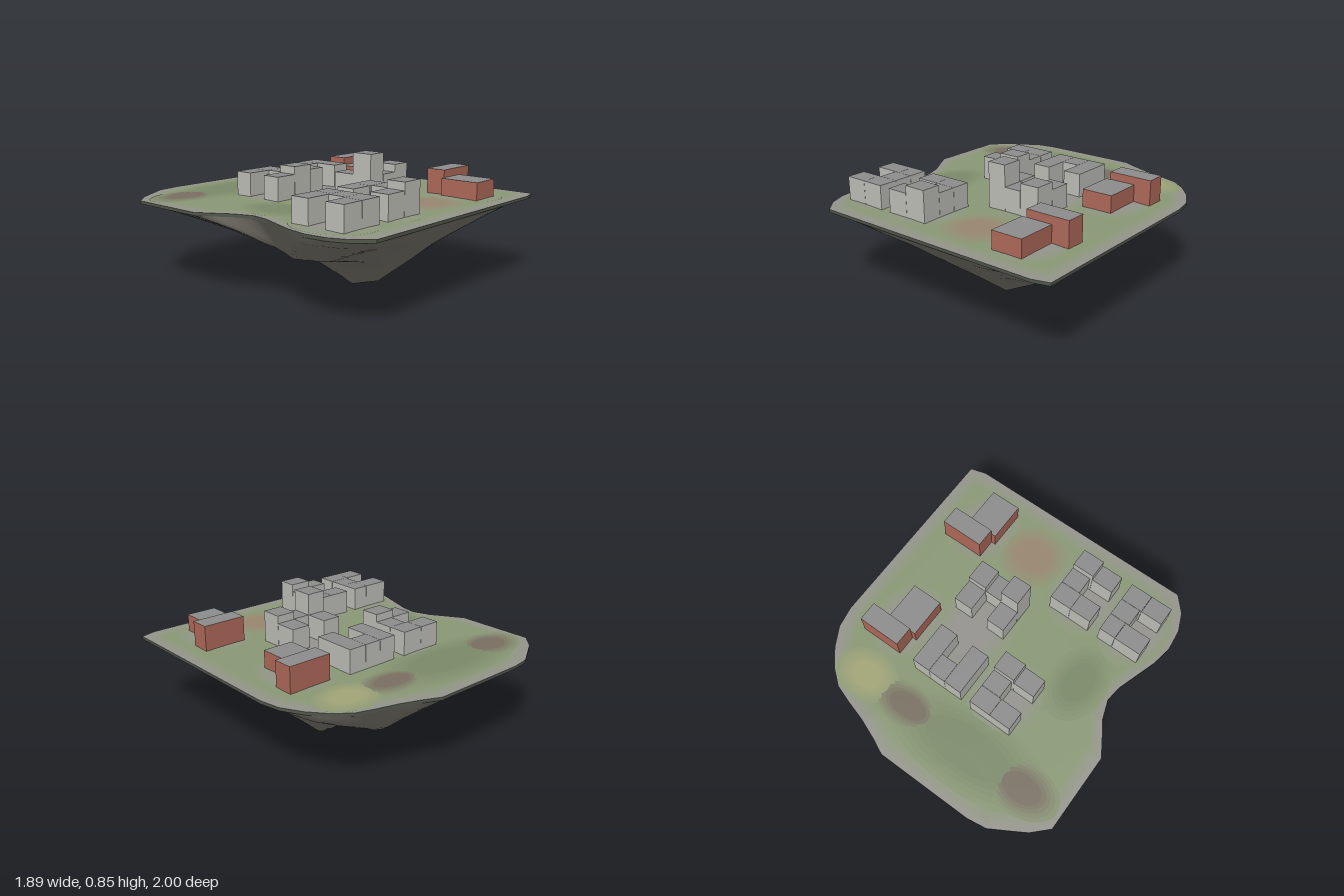
import * as THREE from 'three';

const TOP = 0.55, RIM = 0.53;
const mat = (color) => new THREE.MeshStandardMaterial({ color });
const grey = mat(0xc0c0ba), roofGrey = mat(0x8e8e8e), red = mat(0xb06a5a);
const rock = mat(0x8e8a80), soil = mat(0x50564a);
const GRASS = new THREE.Color(0x8b9a76), VERGE = new THREE.Color(0x97958f);

// Island outline seen from above, as x, z pairs
const OUTLINE = [
  [-0.5, -1], [0.16, -1], [0.27, -0.95], [0.4, -0.9], [0.54, -0.86], [0.66, -0.82], [0.76, -0.74],
  [0.85, -0.63], [0.92, -0.5], [0.945, -0.36], [0.945, 0.97], [0.84, 1], [-0.75, 1], [-0.84, 0.9],
  [-0.89, 0.78], [-0.905, 0.64], [-0.88, 0.5], [-0.83, 0.35], [-0.79, 0.23], [-0.775, 0.12],
  [-0.82, -0.01], [-0.89, -0.12], [-0.95, -0.22], [-0.95, -0.75], [-0.85, -0.85], [-0.75, -0.91], [-0.63, -0.98],
].map(([x, z]) => new THREE.Vector2(x, z));

// Coarse heights of the rocky underside: rows from back to front, columns from -x to +x
const ROCK = [
  [0.53, 0.53, 0.53, 0.53, 0.53, 0.53, 0.53, 0.53],
  [0.53, 0.46, 0.41, 0.37, 0.34, 0.31, 0.43, 0.53],
  [0.53, 0.42, 0.34, 0.29, 0.27, 0.26, 0.36, 0.53],
  [0.53, 0.40, 0.29, 0.20, 0.15, 0.09, 0.32, 0.53],
  [0.53, 0.37, 0.27, 0.13, 0.09, 0.12, 0.32, 0.53],
  [0.53, 0.31, 0.25, 0.04, 0.00, 0.13, 0.33, 0.53],
  [0.53, 0.34, 0.29, 0.22, 0.20, 0.26, 0.38, 0.53],
  [0.53, 0.45, 0.43, 0.42, 0.42, 0.43, 0.46, 0.53],
  [0.62, 0.62, 0.63, 0.64, 0.64, 0.63, 0.62, 0.62],
];

function rockHeight(x, z) {
  const u = THREE.MathUtils.clamp((x + 0.945) / 0.265, 0, 6.999);
  const v = THREE.MathUtils.clamp((z + 1) / 0.2667, 0, 7.999);
  const i = Math.floor(u), j = Math.floor(v);
  const row = (r) => THREE.MathUtils.lerp(ROCK[r][i], ROCK[r][i + 1], u - i);
  return THREE.MathUtils.lerp(row(j), row(j + 1), v - j);
}

// Split long outline edges so the underside follows its ridges
function denseOutline(step) {
  const pts = [];
  OUTLINE.forEach((a, i) => {
    const b = OUTLINE[(i + 1) % OUTLINE.length];
    const n = Math.max(1, Math.round(a.distanceTo(b) / step));
    for (let k = 0; k < n; k++) pts.push(a.clone().lerp(b, k / n));
  });
  return pts;
}

// Underside built from rings that shrink towards the lowest peak
function undersideGeometry() {
  const loop = denseOutline(0.06), n = loop.length, rings = 32;
  const centre = new THREE.Vector2(0.115, 0.333);
  const pos = [], index = [];
  for (let r = 0; r <= rings; r++) {
    for (const p of loop) {
      const q = centre.clone().lerp(p, 1 - r / rings);
      // never steeper than a cone hanging from the rim
      const cone = RIM - 1.5 * q.distanceTo(p);
      pos.push(q.x, Math.min(RIM, Math.max(rockHeight(q.x, q.y), cone)), q.y);
    }
  }
  for (let r = 0; r < rings; r++) {
    for (let i = 0; i < n; i++) {
      const a = r * n + i, b = r * n + (i + 1) % n, c = a + n, d = b + n;
      index.push(a, b, c);
      if (r < rings - 1) index.push(b, d, c);
    }
  }
  const g = new THREE.BufferGeometry();
  g.setAttribute('position', new THREE.Float32BufferAttribute(pos, 3));
  g.setIndex(index);
  g.computeVertexNormals();
  return g;
}

export function createModel() {
  const model = new THREE.Group();
  const add = (parent, name, geometry, material) => {
    const mesh = new THREE.Mesh(geometry, material);
    mesh.name = name;
    parent.add(mesh);
    return mesh;
  };

  // Floating island
  const island = new THREE.Group();
  island.name = 'island';
  model.add(island);
  add(island, 'rockUnderside', undersideGeometry(), rock);
  const outline = (k) => new THREE.Shape(OUTLINE.map((p) => new THREE.Vector2(p.x * k, -p.y * k)));
  const slab = new THREE.ExtrudeGeometry(outline(1), { depth: TOP - RIM, bevelEnabled: false });
  slab.rotateX(-Math.PI / 2).translate(0, RIM, 0);
  add(island, 'rimSlab', slab, [mat(VERGE), soil]);

  // Lawn fading in from the grey verge
  for (let k = 1; k <= 5; k++) {
    const lawn = new THREE.ShapeGeometry(outline(1 - 0.022 * k)).rotateX(-Math.PI / 2);
    add(island, 'lawn', lawn, mat(VERGE.clone().lerp(GRASS, k / 5))).position.y = TOP + 0.0004 * k;
  }

  // Ground patches fading into the lawn: x, z, radii, colour
  const patches = [
    ['darkLawn', -0.25, -0.66, 0.6, 0.26, 0x7c8b6a],
    ['darkLawn', -0.56, 0.1, 0.19, 0.28, 0x7c8b6a],
    ['bareEarth', -0.66, -0.66, 0.26, 0.17, 0x7a7062],
    ['bareEarth', 0.22, -0.66, 0.26, 0.14, 0x7a7062],
    ['dryLawn', 0.56, -0.65, 0.22, 0.17, 0xa3a677],
    ['clayGround', 0.19, 0.66, 0.24, 0.22, 0x9a8871],
    ['paving', -0.65, 0.62, 0.23, 0.28, 0x969590],
    ['paving', -0.27, 0.62, 0.25, 0.28, 0x969590],
    ['paving', -0.24, -0.25, 0.23, 0.27, 0x969590],
    ['paving', 0.2, 0.02, 0.26, 0.42, 0x969590],
    ['paving', 0.58, -0.2, 0.22, 0.28, 0x969590],
    ['paving', 0.58, 0.65, 0.22, 0.28, 0x969590],
  ];
  const fade = 5;
  for (let k = 0; k < fade; k++) {
    patches.forEach(([name, x, z, rx, rz, color], i) => {
      const s = 1 - 0.12 * k;
      const disc = new THREE.CircleGeometry(1, 32).rotateX(-Math.PI / 2).scale(rx * s, 1, rz * s);
      const tint = GRASS.clone().lerp(new THREE.Color(color), (k + 1) / fade);
      add(island, name, disc, mat(tint)).position.set(x, TOP + 0.0025 + (k * patches.length + i) * 0.0001, z);
    });
  }

  // One block with a flat grey roof, given by its plan edges and roof height; a hairline gap separates neighbours
  const block = (parent, wall, [x0, x1, z0, z1, top]) => {
    const h = top - TOP, gap = 0.0015;
    const box = new THREE.BoxGeometry(x1 - x0 - gap, h, z1 - z0 - gap);
    add(parent, 'block', box, [wall, wall, roofGrey, wall, wall, wall])
      .position.set((x0 + x1) / 2, TOP + h / 2, (z0 + z1) / 2);
  };
  const building = (name, wall, blocks, dx = 0, dz = 0) => {
    const g = new THREE.Group();
    g.name = name;
    g.position.set(dx, 0, dz);
    blocks.forEach((b) => block(g, wall, b));
    model.add(g);
  };

  // Courtyard buildings open to -x
  const courtyard = (split, inner, tall) => [
    [-0.407, split, 0.428, 0.555, 0.71], [split, -0.106, 0.428, 0.555, 0.71],
    [inner, -0.106, 0.555, 0.68, 0.71],
    [-0.407, -0.257, 0.68, 0.808, 0.71], [-0.257, -0.106, 0.68, 0.808, tall],
  ];
  building('frontCourtyard', grey, courtyard(-0.257, -0.242, 0.76));
  building('backCourtyard', grey, courtyard(-0.257, -0.242, 0.76), 0, -0.868);
  building('sideCourtyard', grey, courtyard(-0.22, -0.247, 0.71), -0.376, 0);

  // U-shaped buildings facing each other in the middle
  building('towerBlock', grey, [
    [0, 0.13, 0.055, 0.208, 0.71], [0, 0.13, 0.208, 0.353, 0.85],
    [0.13, 0.25, 0.21, 0.353, 0.71],
    [0.25, 0.383, 0.055, 0.208, 0.71], [0.25, 0.383, 0.208, 0.353, 0.76],
  ]);
  building('lowBlock', grey, [
    [-0.028, 0.095, -0.432, -0.138, 0.71],
    [0.095, 0.215, -0.432, -0.295, 0.71],
    [0.215, 0.341, -0.432, -0.138, 0.71],
  ]);

  // Red L-shaped halls
  for (const [name, dz] of [['frontHall', 0], ['backHall', -0.865]]) {
    building(name, red, [[0.48, 0.775, 0.45, 0.583, 0.72], [0.45, 0.66, 0.583, 0.85, 0.67]], 0, dz);
  }
  return model;
}
